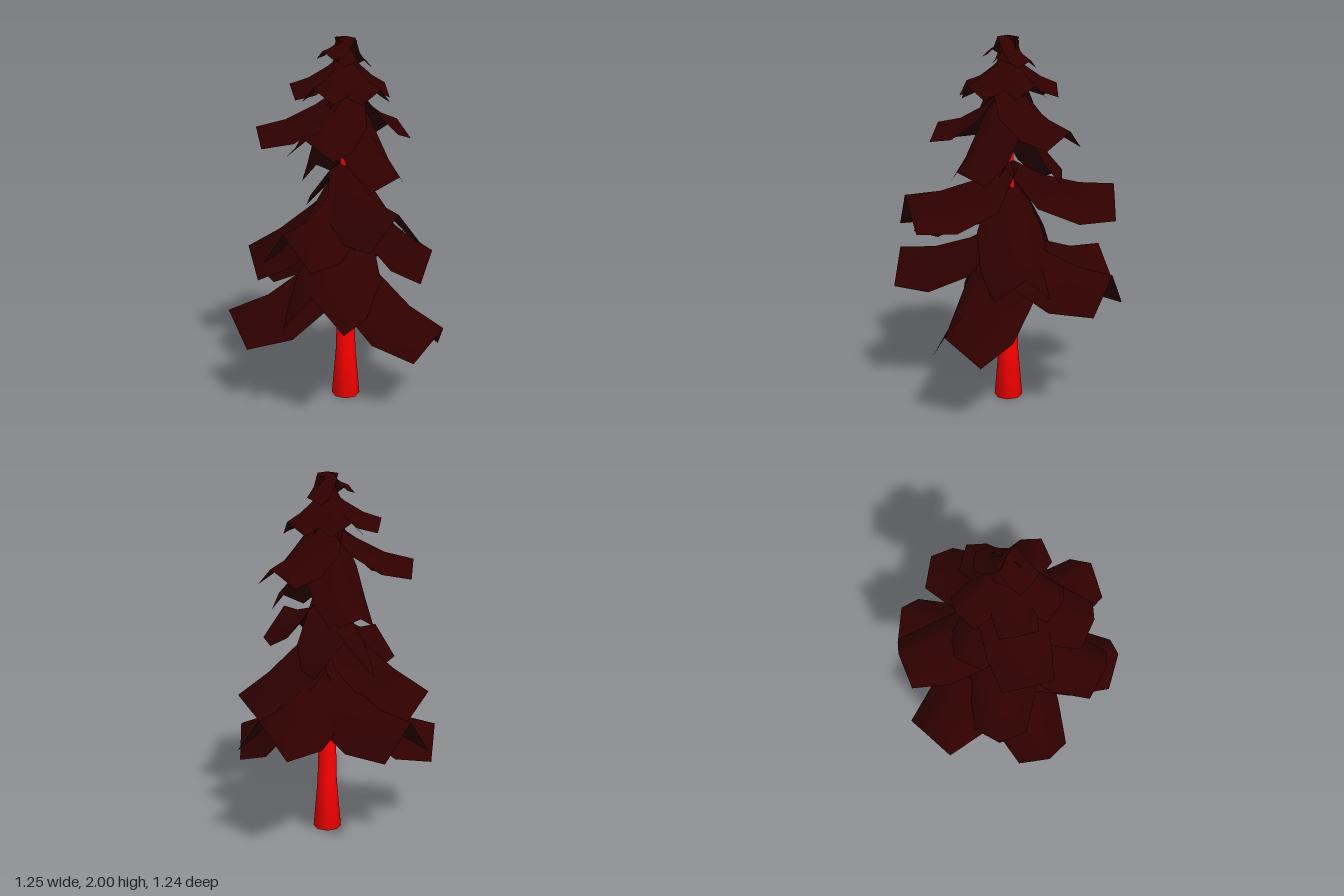
import * as THREE from 'three';

const TRUNK_X = -0.03, TRUNK_Z = 0.04;

// Tapered trunk with a flared foot
function makeTrunk(material) {
  const profile = [[0, 0], [0.079, 0], [0.055, 0.28], [0.048, 0.6], [0.03, 1.4], [0.015, 1.76], [0, 1.77]]
    .map(([r, y]) => new THREE.Vector2(r, y));
  const trunk = new THREE.Mesh(new THREE.LatheGeometry(profile, 8), material);
  trunk.position.set(TRUNK_X, 0, TRUNK_Z);
  trunk.name = 'trunk';
  return trunk;
}

// Relative droop of a bough's edges from trunk to tip
const DROOPS = [0.25, 0.9, 1.1, 1];

// A drooping bough: a strip folded along its ridge, from the trunk to the tip
function makeBough([tipX, tipY, tipZ, rootY, power], { widths, drop }) {
  const dx = tipX - TRUNK_X, dz = tipZ - TRUNK_Z;
  const length = Math.hypot(dx, dz);
  const out = new THREE.Vector3(dx / length, 0, dz / length);
  const side = new THREE.Vector3(-out.z, 0, out.x);
  const fall = rootY - tipY;
  const positions = [], index = [];
  widths.forEach((halfWidth, i) => {
    const t = i / (widths.length - 1);
    const ridge = new THREE.Vector3(TRUNK_X, tipY + fall * Math.pow(1 - t, power), TRUNK_Z)
      .addScaledVector(out, length * t);
    // slope of the ridge tilts the fold so the edges hang square to it
    const slope = fall * power * Math.pow(Math.max(1 - t, 0.25), power - 1) / length;
    const down = new THREE.Vector3(-out.x * slope, -1, -out.z * slope).normalize();
    const edge = (s) => ridge.clone()
      .addScaledVector(side, s * halfWidth)
      .addScaledVector(down, drop * DROOPS[i]);
    for (const p of [edge(-1), ridge, edge(1)]) positions.push(p.x, p.y, p.z);
    if (i > 0) {
      for (let k = 0; k < 2; k++) {
        const a = (i - 1) * 3 + k, b = a + 1, c = a + 3, d = a + 4;
        index.push(a, b, c, b, d, c);
      }
    }
  });
  const geometry = new THREE.BufferGeometry();
  geometry.setAttribute('position', new THREE.Float32BufferAttribute(positions, 3));
  geometry.setIndex(index);
  geometry.computeVertexNormals();
  return geometry;
}

// Tiers from the lowest up: half widths from trunk to tip, droop of the edges,
// and boughs as [tip x, tip y, tip z, root y, curve]
const TIERS = [
  { name: 'lowestTier', widths: [0.13, 0.23, 0.21, 0.153], drop: 0.19, boughs: [
    [0.595, 0.81, -0.12, 1.03, 2.5],
    [0.14, 0.525, 0.605, 0.97, 1.5],
    [-0.575, 0.82, 0.385, 1.03, 2.2],
    [-0.59, 0.565, -0.285, 0.97, 1.6],
    [0.03, 0.79, -0.62, 1.03, 2.5],
  ] },
  { name: 'secondTier', widths: [0.08, 0.18, 0.185, 0.145], drop: 0.18, boughs: [
    [0.4, 0.82, 0.29, 1.25, 1.2],
    [-0.2, 1.2, 0.59, 1.36, 2.8],
    [-0.585, 1.09, 0.19, 1.34, 2.5],
    [-0.34, 0.84, -0.43, 1.27, 1.2],
    [0.31, 1.21, -0.43, 1.36, 2.5],
  ] },
  { name: 'thirdTier', widths: [0.1, 0.165, 0.16, 0.13], drop: 0.1, boughs: [
    [0.4, 1.53, 0.0, 1.76, 1.4],
    [0.0, 1.32, 0.405, 1.74, 1.2],
    [-0.44, 1.53, 0.2, 1.74, 1.8],
    [-0.39, 1.54, -0.26, 1.76, 1.6],
    [0.05, 1.27, -0.29, 1.72, 1.2],
  ] },
  { name: 'fourthTier', widths: [0.04, 0.09, 0.105, 0.095], drop: 0.08, boughs: [
    [0.225, 1.75, 0.07, 1.93, 1.3],
    [-0.04, 1.75, 0.305, 1.92, 1.5],
    [-0.305, 1.76, 0.1, 1.92, 1.6],
    [-0.25, 1.76, -0.15, 1.92, 1.5],
    [0.06, 1.75, -0.23, 1.92, 1.4],
  ] },
  { name: 'crown', widths: [0.07, 0.07, 0.075, 0.07], drop: 0.045, boughs: [
    [-0.18, 1.93, 0.03, 2.0, 1.4],
    [0.13, 1.87, 0.02, 2.0, 1.3],
    [-0.02, 1.88, 0.12, 1.98, 1.2],
    [-0.03, 1.87, -0.05, 1.98, 1.2],
  ] },
];

export function createModel() {
  const group = new THREE.Group();
  group.name = 'coniferTree';
  const bark = new THREE.MeshStandardMaterial({ color: 0xff0000 });
  const needles = new THREE.MeshStandardMaterial({ color: 0x2f0000, side: THREE.DoubleSide });
  group.add(makeTrunk(bark));
  for (const tier of TIERS) {
    const tierGroup = new THREE.Group();
    tierGroup.name = tier.name;
    for (const spec of tier.boughs) {
      const bough = new THREE.Mesh(makeBough(spec, tier), needles);
      bough.name = 'bough';
      tierGroup.add(bough);
    }
    group.add(tierGroup);
  }
  return group;
}
